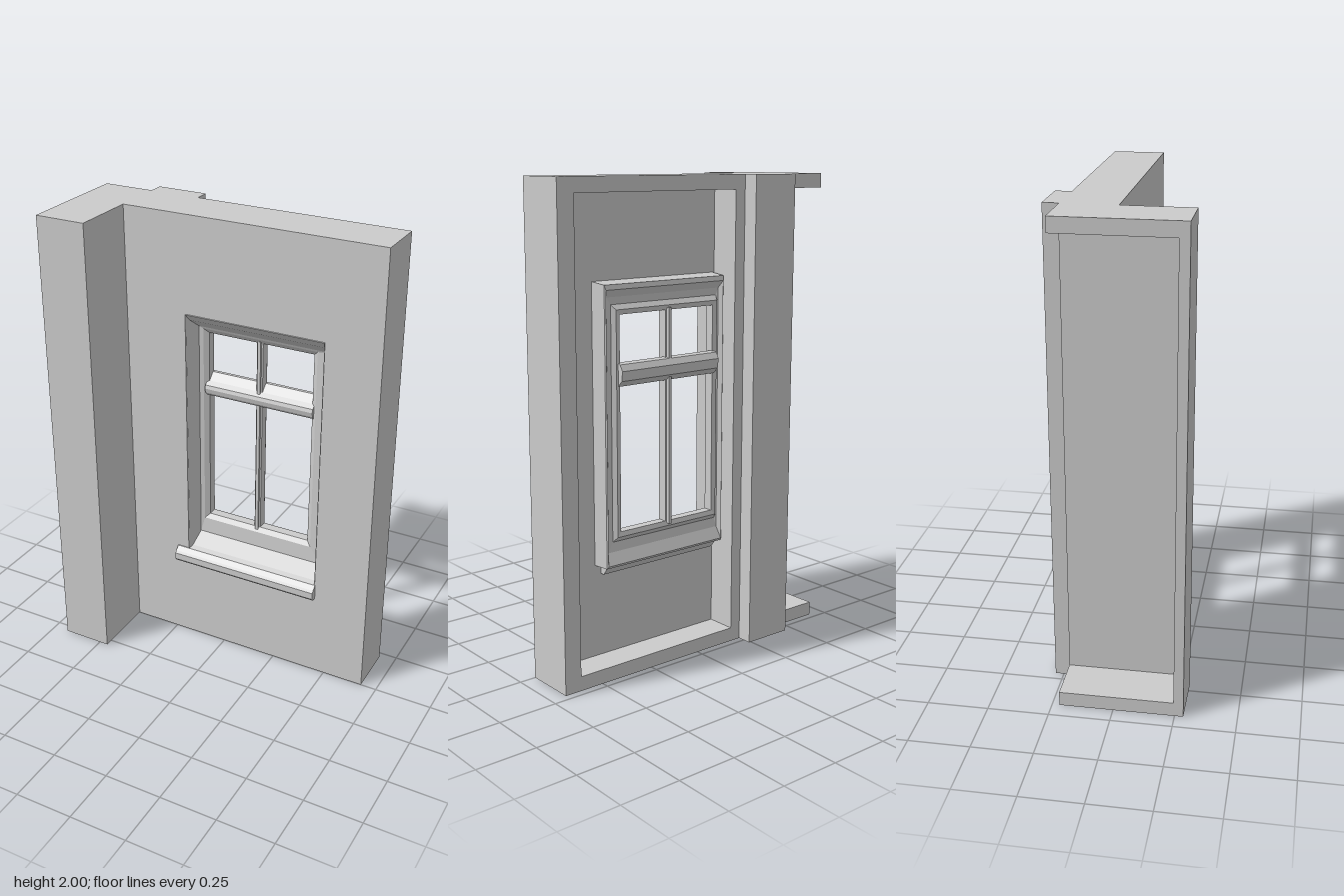
import * as THREE from 'three';

const grey = new THREE.MeshStandardMaterial({ color: 0xcccccc, flatShading: true });

export function createModel() {
  const model = new THREE.Group();
  const add = (name, geo) => {
    const mesh = new THREE.Mesh(geo, grey);
    mesh.name = name;
    model.add(mesh);
    return mesh;
  };
  // Box given by its limits on each axis
  const box = (name, x0, x1, y0, y1, z0, z1) =>
    add(name, new THREE.BoxGeometry(x1 - x0, y1 - y0, z1 - z0)
      .translate((x0 + x1) / 2, (y0 + y1) / 2, (z0 + z1) / 2));
  const polygon = (pts) => new THREE.Shape(pts.map(([x, y]) => new THREE.Vector2(x, y)));
  const rect = (x0, x1, y0, y1) => [[x0, y0], [x1, y0], [x1, y1], [x0, y1]];
  const extrude = (shape, depth) => new THREE.ExtrudeGeometry(shape, { depth, bevelEnabled: false });
  // Moulding with a [z, y] profile, running along x
  const moulding = (name, profile, x0, x1) =>
    add(name, extrude(polygon(profile.map(([z, y]) => [-z, y])), x1 - x0)
      .rotateY(Math.PI / 2).translate(x0, 0, 0));

  // Front wall panel with the window opening
  const panel = polygon(rect(-0.46, 0.68, 0.06, 1.94));
  panel.holes.push(new THREE.Path(rect(-0.178, 0.438, 0.452, 1.578)
    .map(([x, y]) => new THREE.Vector2(x, y))));
  add('wallPanel', extrude(panel, 0.09).translate(0, 0, -0.09));

  // Top and bottom plates following the footprint
  const footprint = [[-0.68, -0.285], [-0.46, -0.285], [-0.46, 0], [0.68, 0], [0.68, 0.22], [-0.68, 0.22]];
  for (const [name, y] of [['bottomPlate', 0], ['topPlate', 1.94]]) {
    add(name, extrude(polygon(footprint), 0.06).rotateX(-Math.PI / 2).translate(0, y, 0));
  }

  // Upright rims of the hollow back
  box('endRim', 0.605, 0.68, 0.06, 1.94, -0.22, 0);
  box('innerRim', -0.24, -0.19, 0.06, 1.94, -0.22, -0.05);
  box('backPillar', -0.46, -0.24, 0, 2, -0.285, -0.05);

  // Corner pier, open at its outer side and back
  box('pierFront', -0.68, -0.46, 0.06, 1.94, 0.245, 0.285);
  box('pierSide', -0.48, -0.46, 0.06, 1.94, -0.22, 0.245);

  // Window casing: rectangular rings [x0, x1, y0, y1, z], lofted front to back and closed
  const rings = [
    [-0.18, 0.44, 0.45, 1.58, 0.004],
    [-0.172, 0.43, 0.46, 1.55, -0.02],
    [-0.168, 0.425, 0.50, 1.50, -0.09],
    [-0.15, 0.37, 0.57, 1.49, -0.095],
    [-0.13, 0.35, 0.59, 1.47, -0.11],
    [-0.13, 0.35, 0.59, 1.47, -0.15],
    [-0.15, 0.37, 0.57, 1.49, -0.155],
    [-0.155, 0.385, 0.55, 1.51, -0.14],
    [-0.165, 0.41, 0.51, 1.54, -0.145],
    [-0.175, 0.425, 0.46, 1.57, -0.165],
    [-0.18, 0.43, 0.45, 1.59, -0.16],
    [-0.18, 0.44, 0.45, 1.60, -0.08],
  ];
  const positions = [], index = [];
  rings.forEach(([x0, x1, y0, y1, z], i) => {
    rect(x0, x1, y0, y1).forEach(([x, y], k) => {
      positions.push(x, y, z);
      const next = ((i + 1) % rings.length) * 4;
      const a = i * 4 + k, b = i * 4 + (k + 1) % 4;
      const c = next + (k + 1) % 4, d = next + k;
      index.push(a, b, c, a, c, d);
    });
  });
  const casing = new THREE.BufferGeometry();
  casing.setAttribute('position', new THREE.Float32BufferAttribute(positions, 3));
  casing.setIndex(index);
  const casingGeo = casing.toNonIndexed();
  casingGeo.computeVertexNormals();
  add('windowCasing', casingGeo);

  // Mullions: a slim bar with a thinner bead on the back
  for (const [name, y0, y1] of [['lowerMullion', 0.58, 1.2], ['upperMullion', 1.24, 1.48]]) {
    box(name, 0.093, 0.121, y0, y1, -0.15, -0.11);
    box(name + 'Bead', 0.1, 0.114, y0, y1, -0.165, -0.1);
  }

  // Transom with a rounded front and a deeper sloping back
  moulding('transom', [
    [-0.105, 1.185], [-0.09, 1.2], [-0.085, 1.22], [-0.09, 1.235], [-0.11, 1.25],
    [-0.14, 1.28], [-0.165, 1.275], [-0.18, 1.25], [-0.175, 1.21], [-0.15, 1.185],
  ], -0.14, 0.36);

  // Projecting sill outside, small apron ledge inside
  moulding('windowSill', [
    [-0.01, 0.38], [0.022, 0.385], [0.03, 0.395], [0.03, 0.425], [0.022, 0.435], [0.004, 0.452], [-0.01, 0.452],
  ], -0.235, 0.443);
  moulding('innerLedge', [
    [-0.08, 0.41], [-0.11, 0.41], [-0.125, 0.43], [-0.14, 0.452], [-0.08, 0.452],
  ], -0.17, 0.41);

  return model;
}
